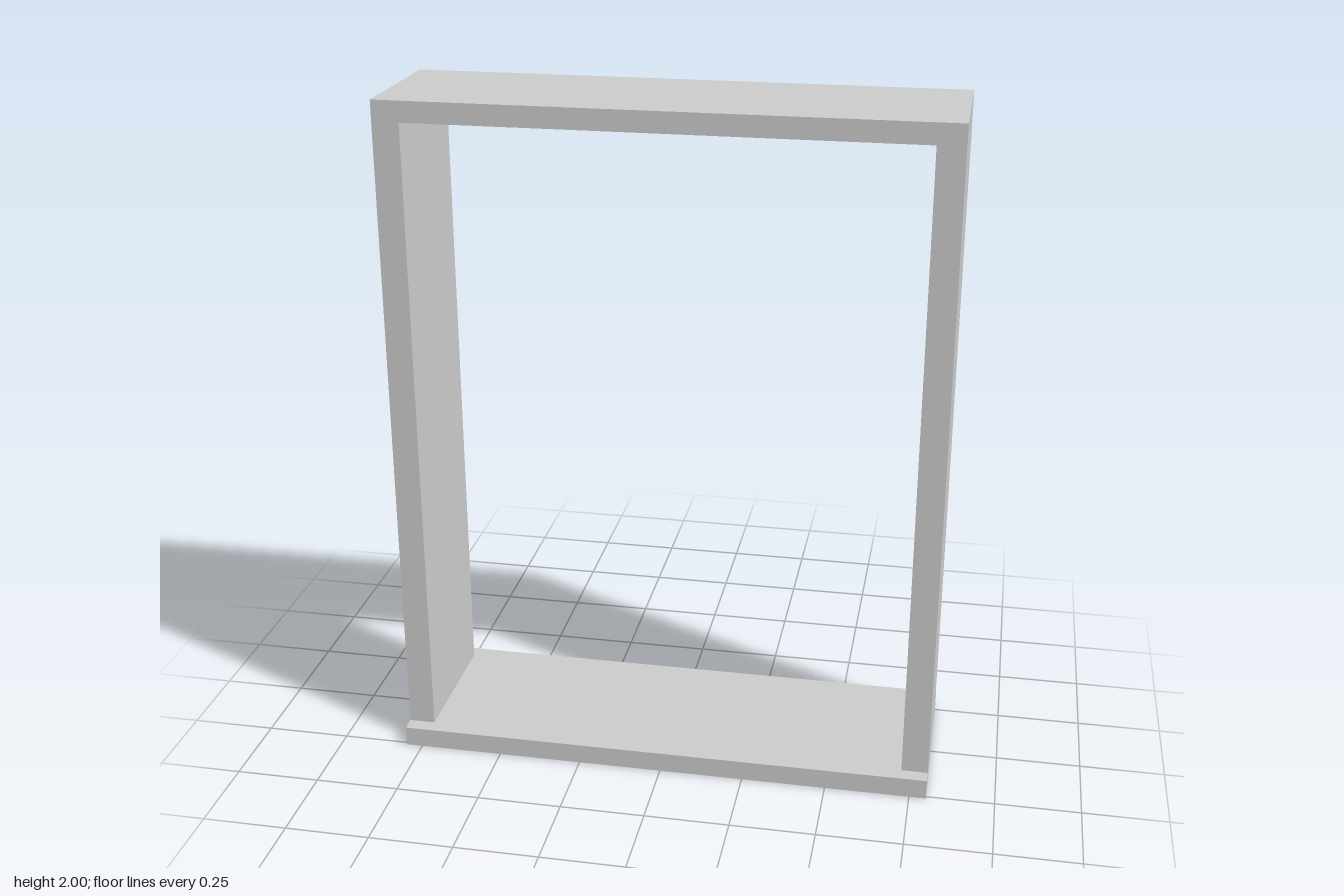
import * as THREE from 'three';

const HALF_W = 0.8, HEIGHT = 2;
const SILL_H = 0.06, SILL_D = 0.52;
const JAMB = 0.078, HEAD = 0.06, FRAME_D = 0.43;

export function createModel() {
  const group = new THREE.Group();
  group.name = 'openFrame';
  const material = new THREE.MeshStandardMaterial({ color: 0xcccccc });

  // Two jambs and the head as one inverted U, standing on the sill
  const inner = HALF_W - JAMB, under = HEIGHT - HEAD;
  const outline = new THREE.Shape([
    [-HALF_W, SILL_H], [-inner, SILL_H], [-inner, under], [inner, under],
    [inner, SILL_H], [HALF_W, SILL_H], [HALF_W, HEIGHT], [-HALF_W, HEIGHT],
  ].map(([x, y]) => new THREE.Vector2(x, y)));
  const frame = new THREE.Mesh(
    new THREE.ExtrudeGeometry(outline, { depth: FRAME_D, bevelEnabled: false }),
    material,
  );
  frame.name = 'jambsAndHead';
  frame.position.z = -FRAME_D / 2;
  group.add(frame);

  // Deeper sill board, projecting at front and back
  const sill = new THREE.Mesh(new THREE.BoxGeometry(HALF_W * 2, SILL_H, SILL_D), material);
  sill.name = 'sill';
  sill.position.y = SILL_H / 2;
  group.add(sill);

  return group;
}
